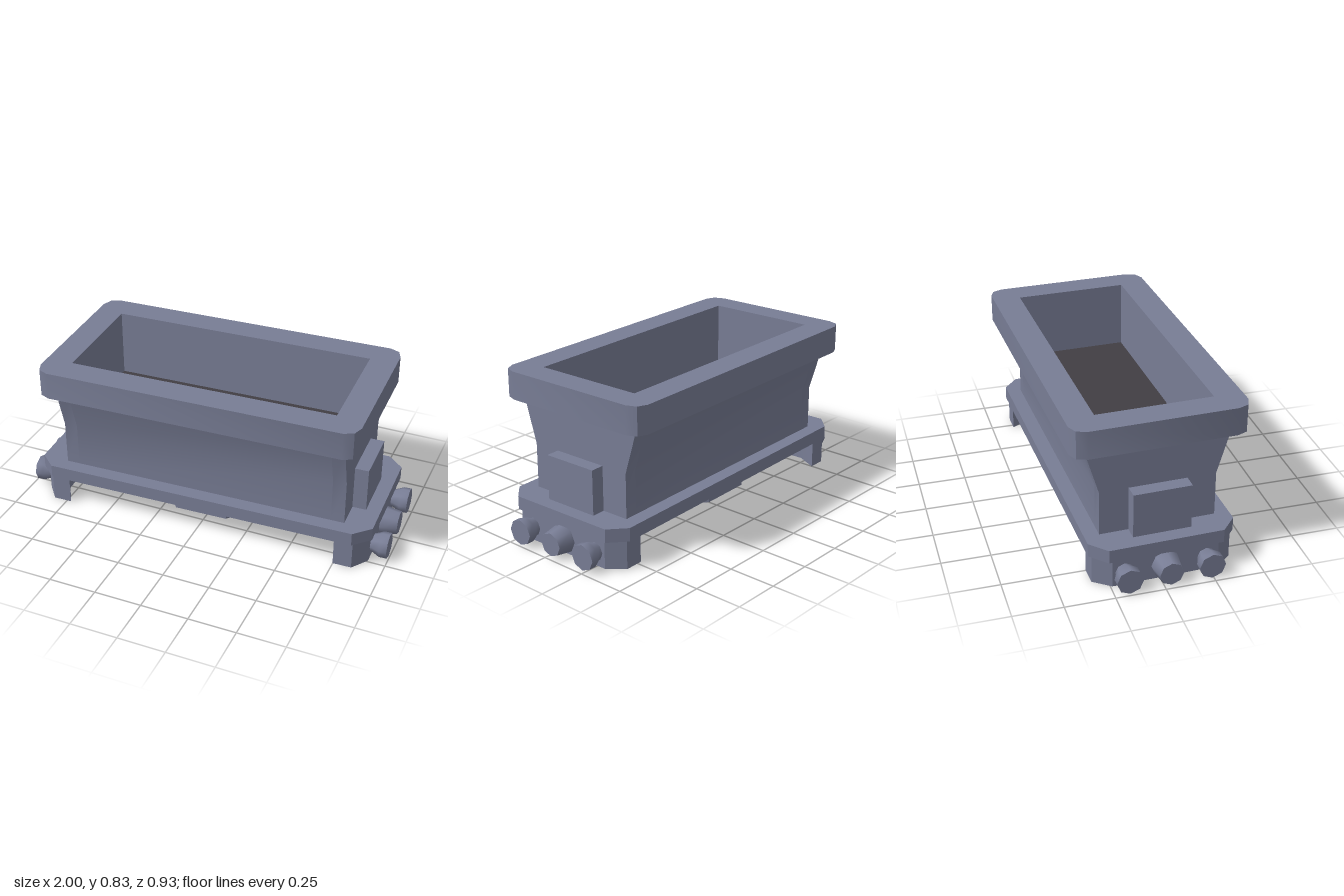
import * as THREE from 'three';
import { toCreasedNormals } from 'three/addons/utils/BufferGeometryUtils.js';

const V = (pts) => pts.map(([x, y]) => new THREE.Vector2(x, y));

// Outline of a rectangle with cut corners; each corner is given as offsets from the sharp corner
function outline(hx, hz, cuts) {
  const pts = [];
  for (const [sx, sz] of [[1, 1], [-1, 1], [-1, -1], [1, -1]]) {
    const corner = cuts.map(([cx, cz]) => [sx * (hx - cx), sz * (hz - cz)]);
    pts.push(...(sx * sz > 0 ? corner : corner.reverse()));
  }
  return pts;
}

// Horizontal slab from y0 to y1 with an optional hole
function slab(pts, y0, y1, hole) {
  const shape = new THREE.Shape(V(pts));
  if (hole) shape.holes.push(new THREE.Path(V(hole)));
  const geo = new THREE.ExtrudeGeometry(shape, { depth: y1 - y0, bevelEnabled: false });
  return toCreasedNormals(geo.rotateX(-Math.PI / 2).translate(0, y0, 0), 0.6);
}

// Side profile (z, y) drawn out along x from x0 to x1
function alongX(pts, x0, x1) {
  const geo = new THREE.ExtrudeGeometry(new THREE.Shape(V(pts)), { depth: x1 - x0, bevelEnabled: false });
  return toCreasedNormals(geo.rotateY(Math.PI / 2).translate(x0, 0, 0), 0.6);
}

export function createModel() {
  const metal = new THREE.MeshStandardMaterial({ color: 0x787d95 });
  metal.name = 'blueGreyMetal';
  const dark = new THREE.MeshStandardMaterial({ color: 0x413e43 });
  dark.name = 'darkFloor';

  const model = new THREE.Group();
  model.name = 'hopperWagon';
  const add = (parent, name, geo, mat = metal) => {
    const mesh = new THREE.Mesh(geo, mat);
    mesh.name = name;
    parent.add(mesh);
    return mesh;
  };

  // Base plate with chamfered corners
  add(model, 'basePlate', slab(outline(0.916, 0.37, [[0, 0.08], [0.085, 0]]), 0.15, 0.22));

  // Hopper body: upright below, flaring outward above, with an open trough
  const floorY = 0.47;
  add(model, 'hopperBody', alongX([
    [-0.295, 0.22], [0.295, 0.22], [0.295, 0.455], [0.365, 0.69], [0.295, 0.69],
    [0.295, floorY], [-0.295, floorY], [-0.295, 0.69], [-0.365, 0.69], [-0.295, 0.455],
  ], -0.7, 0.7));
  const wall = [
    [-0.295, 0.22], [0.295, 0.22], [0.295, 0.455], [0.365, 0.69], [-0.365, 0.69], [-0.295, 0.455],
  ];

  // Trough floor
  add(model, 'troughFloor', new THREE.BoxGeometry(1.4, 0.006, 0.59).translate(0, floorY + 0.003, 0), dark);

  // Heavy rim around the opening
  add(model, 'rim', slab(
    outline(0.842, 0.44, [[0, 0.075], [0.02, 0.022], [0.07, 0]]), 0.69, 0.835,
    [[-0.7, -0.295], [-0.7, 0.295], [0.7, 0.295], [0.7, -0.295]],
  ));

  // Keel block and ring under the base
  add(model, 'keelBlock', alongX([[-0.17, 0], [0.17, 0], [0.37, 0.15], [-0.37, 0.15]], -0.113, 0.113));
  add(model, 'keelRing', slab(
    outline(0.26, 0.3, [[0, 0.13], [0.12, 0]]), 0.08, 0.15,
    outline(0.19, 0.23, [[0, 0.1], [0.09, 0]]).reverse(),
  ));

  // Matching ends
  for (const side of ['left', 'right']) {
    const end = new THREE.Group();
    end.name = side + 'End';
    if (side === 'right') end.rotation.y = Math.PI;
    model.add(end);

    add(end, 'endWall', alongX(wall, 0.7, 0.77));
    add(end, 'endBox', new THREE.BoxGeometry(0.08, 0.235, 0.296).translate(0.802, 0.3375, 0));

    // Bent beam below the plate
    add(end, 'bumperBeam', slab([
      [0.738, -0.354], [0.835, -0.354], [0.9, -0.27], [0.9, 0.27], [0.835, 0.354], [0.738, 0.354],
      [0.8, 0.24], [0.8, -0.24],
    ], 0, 0.15));

    // Three eight-sided buffers; the middle one tapers outward
    for (const z of [-0.208, 0, 0.208]) {
      const profile = z === 0
        ? [[0, 0.88], [0.074, 0.88], [0.074, 0.91], [0.061, 0.99], [0, 0.99]]
        : [[0, 0.88], [0.045, 0.88], [0.048, 0.91], [0.067, 0.95], [0.067, 0.99], [0, 0.99]];
      const geo = new THREE.LatheGeometry(V(profile), 8).rotateZ(-Math.PI / 2).translate(0, 0.075, z);
      add(end, 'buffer', toCreasedNormals(geo, 0.9));
    }
  }

  // The whole wagon stands slightly turned
  model.rotation.y = 0.032;
  const root = new THREE.Group();
  root.name = 'wagon';
  root.add(model);
  return root;
}
